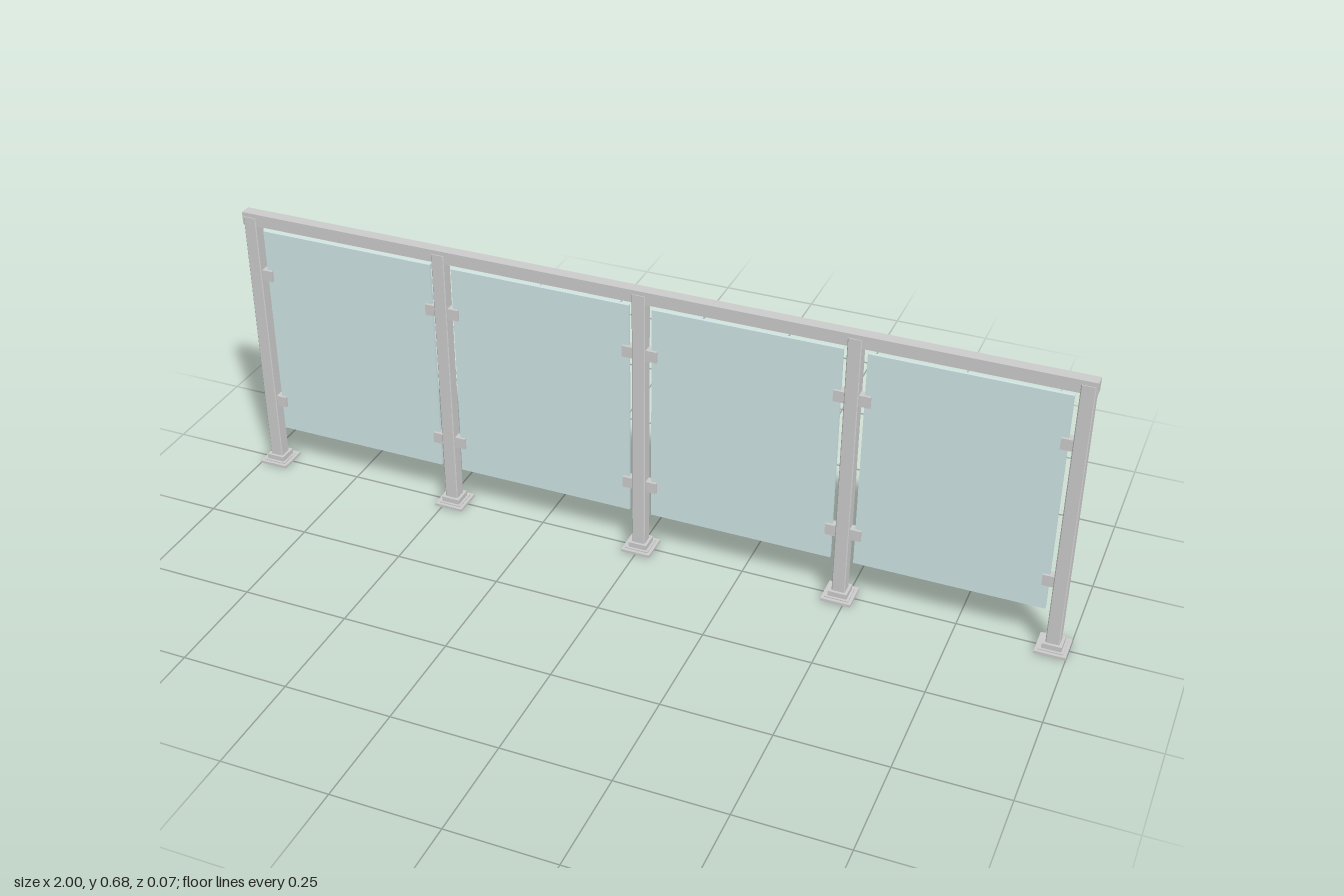
import * as THREE from 'three';

const metal = new THREE.MeshStandardMaterial({ color: 0xcccccc, flatShading: true });
const glass = new THREE.MeshStandardMaterial({ color: 0xcfe4e6, flatShading: true });

const SPACING = 0.4825;
const POST_HALF = 0.0155;

// Box given by its size, centre and bottom height
function box(name, w, h, d, x, y, z = 0, material = metal) {
  const mesh = new THREE.Mesh(new THREE.BoxGeometry(w, h, d), material);
  mesh.name = name;
  mesh.position.set(x, y + h / 2, z);
  return mesh;
}

// Upright square tube with narrow chamfered corners
function postGeometry(height) {
  const a = POST_HALF, b = POST_HALF - 0.002;
  const shape = new THREE.Shape([
    [a, -b], [a, b], [b, a], [-b, a], [-a, b], [-a, -b], [-b, -a], [b, -a],
  ].map(([x, y]) => new THREE.Vector2(x, y)));
  return new THREE.ExtrudeGeometry(shape, { depth: height, bevelEnabled: false }).rotateX(-Math.PI / 2);
}

// Post standing on a stepped foot
function createPost(x, geometry) {
  const group = new THREE.Group();
  group.name = 'post';
  const shaft = new THREE.Mesh(geometry, metal);
  shaft.name = 'postShaft';
  shaft.position.set(x, 0.003, 0);
  group.add(
    shaft,
    box('basePlate', 0.07, 0.0065, 0.07, x, 0),
    box('baseStep', 0.055, 0.0025, 0.055, x, 0.0063),
    box('baseCollar', 0.044, 0.0125, 0.044, x, 0.0085),
  );
  return group;
}

// Glass pane held by two clips on each side
function createPanel(x) {
  const group = new THREE.Group();
  group.name = 'panel';
  group.add(box('glassPane', 0.429, 0.535, 0.008, x, 0.1, 0, glass));
  const clipOffset = SPACING / 2 - POST_HALF - 0.0125;
  for (const side of [-1, 1]) {
    for (const y of [0.164, 0.508]) {
      group.add(box('glassClip', 0.026, 0.027, 0.02, x + side * clipOffset, y));
    }
  }
  return group;
}

export function createModel() {
  const model = new THREE.Group();
  model.name = 'glassRailing';
  const geometry = postGeometry(0.667);
  for (let i = -2; i <= 2; i++) model.add(createPost(i * SPACING, geometry));
  for (let i = -1.5; i <= 1.5; i++) model.add(createPanel(i * SPACING));
  // Top rail running over all the posts
  model.add(box('handrail', 1.968, 0.03, 0.027, 0, 0.65));
  return model;
}
